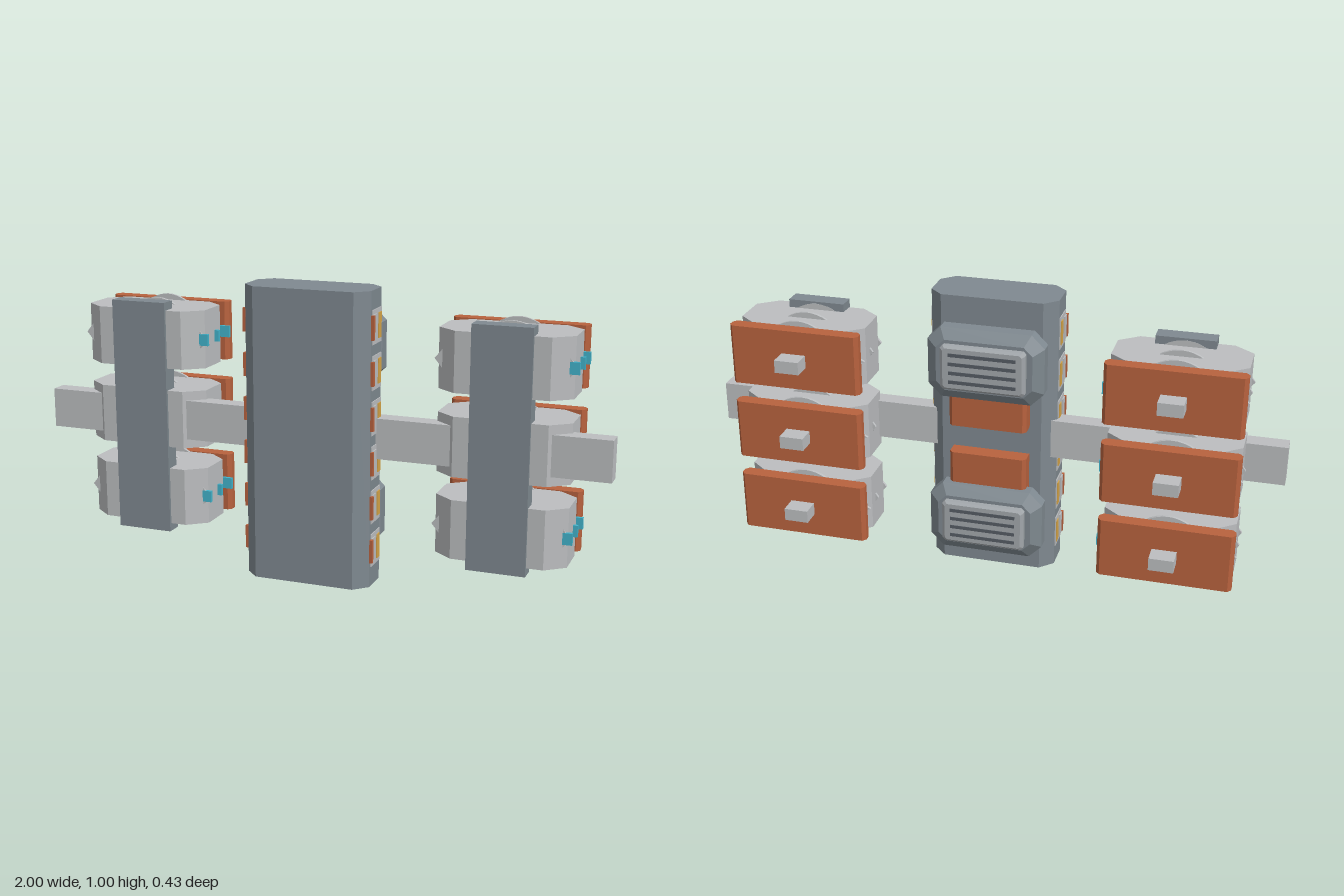
import * as THREE from 'three';

const material = (name, color) => {
  const m = new THREE.MeshStandardMaterial({ color });
  m.name = name;
  return m;
};

export function createModel() {
  const slate = material('slate', 0x7f8990);
  const lightGrey = material('light grey', 0xbcbec0);
  const panelGrey = material('panel grey', 0xa3a8ac);
  const dark = material('dark slot', 0x555c64);
  const orange = material('rust orange', 0xb8623e);
  const cyan = material('cyan', 0x43b4cc);
  const yellow = material('amber', 0xd6a548);

  const model = new THREE.Group();
  model.name = 'station';

  const add = (parent, name, geometry, mat) => {
    const mesh = new THREE.Mesh(geometry, mat);
    mesh.name = name;
    parent.add(mesh);
    return mesh;
  };

  // Box given by its extents on each axis
  const box = (parent, name, mat, x0, x1, y0, y1, z0, z1) => {
    const mesh = add(parent, name, new THREE.BoxGeometry(x1 - x0, y1 - y0, z1 - z0), mat);
    mesh.position.set((x0 + x1) / 2, (y0 + y1) / 2, (z0 + z1) / 2);
    return mesh;
  };

  // Upright prism whose plan is a rectangle with cut corners
  const prism = (parent, name, mat, hw, z0, z1, cutX, cutZ, y0, y1) => {
    const s = new THREE.Shape([
      [hw, -z1 + cutZ], [hw, -z0 - cutZ], [hw - cutX, -z0], [-hw + cutX, -z0],
      [-hw, -z0 - cutZ], [-hw, -z1 + cutZ], [-hw + cutX, -z1], [hw - cutX, -z1],
    ].map(([x, y]) => new THREE.Vector2(x, y)));
    const g = new THREE.ExtrudeGeometry(s, { depth: y1 - y0, bevelEnabled: false });
    g.rotateX(-Math.PI / 2).translate(0, y0, 0);
    return add(parent, name, g, mat);
  };

  // Thin plate in the xy plane, centred on z
  const fin = (parent, name, mat, points, z, t = 0.01) => {
    const s = new THREE.Shape(points.map(([x, y]) => new THREE.Vector2(x, y)));
    const g = new THREE.ExtrudeGeometry(s, { depth: t, bevelEnabled: false });
    g.translate(0, 0, z - t / 2);
    return add(parent, name, g, mat);
  };

  // Closed loft through cut-corner rectangles, rings ordered toward -z
  const loft = (parent, name, mat, rings) => {
    const pos = [];
    const loops = rings.map(([w, h, c, z]) => [
      [w, -h + c], [w, h - c], [w - c, h], [-w + c, h],
      [-w, h - c], [-w, -h + c], [-w + c, -h], [w - c, -h],
    ].map(([x, y]) => [x, y, z]));
    const tri = (a, b, c) => pos.push(...a, ...b, ...c);
    for (let r = 0; r < loops.length - 1; r++) {
      const A = loops[r], B = loops[r + 1];
      for (let i = 0; i < 8; i++) {
        const j = (i + 1) % 8;
        tri(A[i], B[i], B[j]);
        tri(A[i], B[j], A[j]);
      }
    }
    const F = loops[0], E = loops[loops.length - 1];
    for (let i = 1; i < 7; i++) {
      tri(F[0], F[i], F[i + 1]);
      tri(E[0], E[i + 1], E[i]);
    }
    const g = new THREE.BufferGeometry();
    g.setAttribute('position', new THREE.Float32BufferAttribute(pos, 3));
    g.computeVertexNormals();
    return add(parent, name, g, mat);
  };

  // Central hull and cross arm
  prism(model, 'hull', slate, 0.22, 0.028, 0.215, 0.045, 0.044, 0, 1);
  box(model, 'crossArm', lightGrey, -1, 1, 0.432, 0.57, 0.055, 0.117);

  // Rows of framed windows on both hull sides
  for (const side of [-1, 1]) {
    for (let i = 0; i < 6; i++) {
      const bay = new THREE.Group();
      bay.name = 'windowBay';
      bay.position.set(side * 0.22, 0.125 + i * 0.151, 0);
      if (side < 0) bay.rotation.z = Math.PI;
      box(bay, 'bayPlate', lightGrey, -0.004, 0.003, -0.057, 0.057, 0.076, 0.162);
      box(bay, 'bayPanel', lightGrey, 0, 0.007, -0.042, 0.042, 0.128, 0.158);
      box(bay, 'bayWindow', yellow, 0, 0.006, -0.042, 0.042, 0.084, 0.11);
      box(bay, 'bayShutter', orange, 0, 0.01, -0.04, 0.04, 0.159, 0.172);
      model.add(bay);
    }
  }

  // Vent housings and orange blocks on the back of the hull
  for (const s of [-1, 1]) {
    const vent = new THREE.Group();
    vent.name = 'ventModule';
    vent.position.y = 0.5 + s * 0.29;
    loft(vent, 'ventHousing', slate, [
      [0.17, 0.1, 0.035, 0.035], [0.2, 0.125, 0.045, 0.0],
      [0.2, 0.125, 0.045, -0.045], [0.165, 0.09, 0.03, -0.072],
    ]);
    loft(vent, 'ventPanel', panelGrey, [
      [0.145, 0.078, 0.01, -0.07], [0.145, 0.078, 0.01, -0.09], [0.135, 0.07, 0.008, -0.097],
    ]);
    for (let i = 0; i < 4; i++) {
      const y = (i - 1.5) * 0.032;
      box(vent, 'ventSlot', dark, -0.115, 0.115, y - 0.006, y + 0.006, -0.099, -0.094);
    }
    model.add(vent);
    const y = 0.5 + s * 0.117;
    prism(model, 'backBlock', orange, 0.135, -0.03, 0.04, 0.012, 0.012, y - 0.066, y + 0.066);
  }

  // Pod stacks, identical on each side
  const arc = [];
  for (let i = 0; i <= 8; i++) {
    const u = i / 4 - 1;
    arc.push([-u * 0.075, 0.098 + 0.024 * (1 - u * u)]);
  }
  const ribs = [[0.079, 0.215], [-0.008, 0.22], [-0.094, 0.165]];
  for (const x of [-0.64, 0.64]) {
    const stack = new THREE.Group();
    stack.name = 'podStack';
    stack.position.x = x;
    box(stack, 'frontRail', slate, -0.1, 0.1, 0.092, 0.91, 0.075, 0.135);
    for (const y of [0.221, 0.501, 0.781]) {
      const pod = new THREE.Group();
      pod.name = 'pod';
      pod.position.y = y;
      prism(pod, 'podBody', lightGrey, 0.222, -0.102, 0.125, 0.066, 0.053, -0.101, 0.101);
      prism(pod, 'backPlate', orange, 0.228, -0.149, -0.1, 0.012, 0.014, -0.104, 0.104);
      box(pod, 'backStud', lightGrey, -0.042, 0.042, -0.022, 0.022, -0.214, -0.145);
      for (const [z, w] of ribs) {
        // Curved ribs above and below, pointed ribs at the sides
        fin(pod, 'topRib', lightGrey, arc, z);
        fin(pod, 'bottomRib', lightGrey, arc.map(([a, b]) => [-a, -b]), z);
        const base = w - 0.015;
        fin(pod, 'leftRib', lightGrey, [[base, -0.04], [0.233, 0], [base, 0.04]], z);
        fin(pod, 'rightRib', lightGrey, [[-base, 0.04], [-0.233, 0], [-base, -0.04]], z);
        box(pod, 'sideClip', cyan, w - 0.01, 0.238, -0.02, 0.02, z - 0.006, z + 0.006);
      }
      stack.add(pod);
    }
    model.add(stack);
  }

  return model;
}
